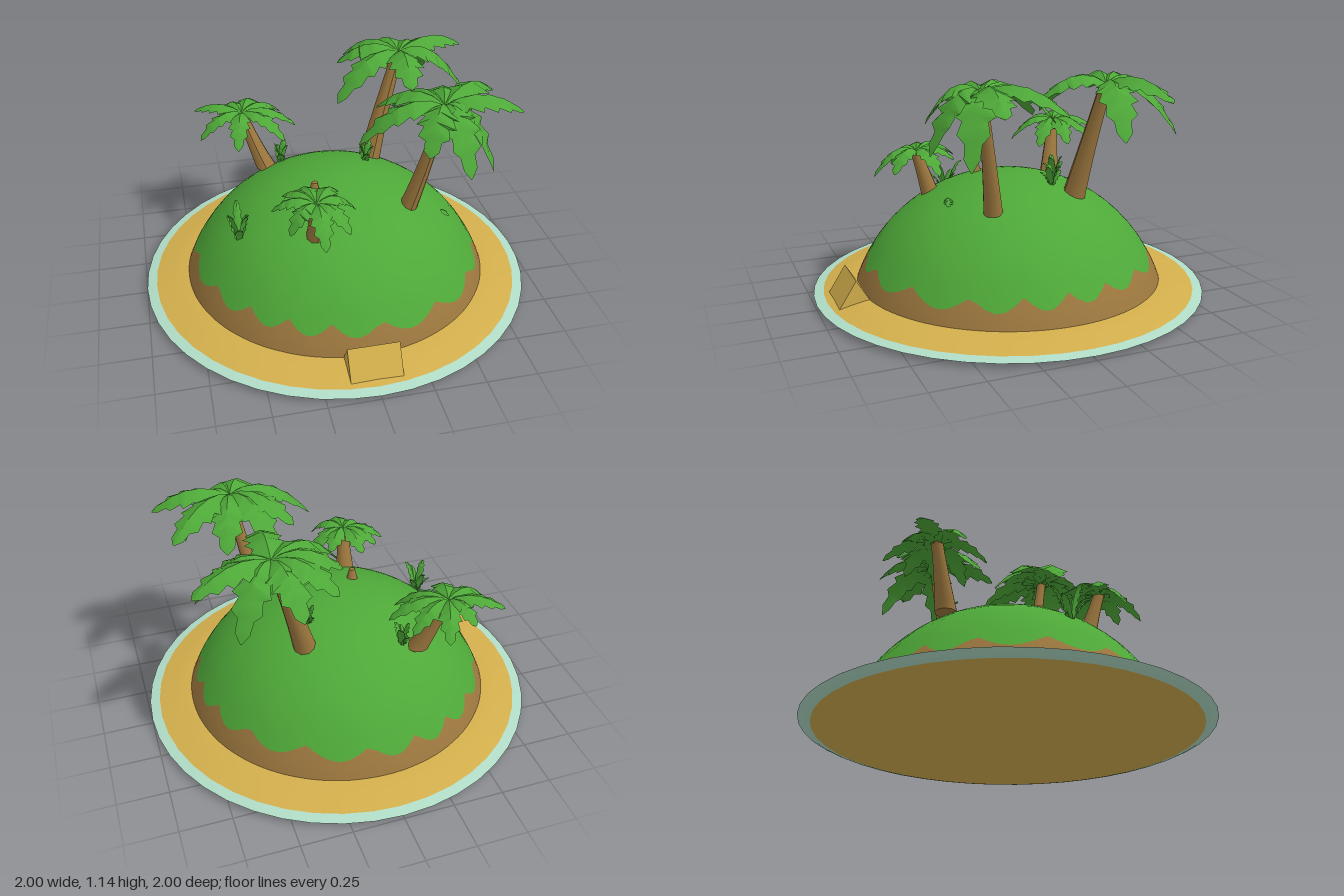
import * as THREE from 'three';
import { toCreasedNormals } from 'three/addons/utils/BufferGeometryUtils.js';

const mat = (name, color, side = THREE.FrontSide) => {
  const m = new THREE.MeshStandardMaterial({ color, side });
  m.name = name;
  return m;
};
const V = (x, y, z) => new THREE.Vector3(x, y, z);

// Skin over rows of points; every row is a closed loop
function skin(rows) {
  const n = rows[0].length, index = [];
  for (let i = 0; i < rows.length - 1; i++) {
    for (let j = 0; j < n; j++) {
      const k = (j + 1) % n;
      const a = i * n + j, b = i * n + k, c = (i + 1) * n + k, d = (i + 1) * n + j;
      index.push(a, d, b, b, d, c);
    }
  }
  const g = new THREE.BufferGeometry().setFromPoints(rows.flat());
  g.setIndex(index);
  g.computeVertexNormals();
  return g;
}

// Spherical hill surface between two radius rules
const hillY = r => Math.sqrt(0.694 - r * r) - 0.223;
function hillBand(outer, inner, steps) {
  const rows = [];
  for (let i = 0; i <= steps; i++) {
    const row = [];
    for (let j = 0; j < 108; j++) {
      const a = j / 108 * Math.PI * 2;
      const r = THREE.MathUtils.lerp(outer(a), inner(a), i / steps);
      row.push(V(r * Math.cos(a), hillY(r), r * Math.sin(a)));
    }
    rows.push(row);
  }
  return skin(rows);
}

// Arched leaf with a raised rib and jagged, drooping edges
function leaf(base, tip, width, lift) {
  const ctrl = base.clone().lerp(tip, 0.5);
  ctrl.y = Math.max(base.y, tip.y) + lift;
  const curve = new THREE.QuadraticBezierCurve3(base, ctrl, tip);
  const flat = V(tip.x - base.x, 0, tip.z - base.z).normalize();
  const side = V(-flat.z, 0, flat.x);
  const rows = [], steps = 11;
  for (let i = 0; i <= steps; i++) {
    const t = i / steps, p = curve.getPoint(t);
    const jag = i % 2 ? 0.72 : 1.08;
    const w = 0.003 + width * jag * Math.pow(Math.sin(Math.PI * (0.1 + 0.9 * t)), 0.75);
    const edge = s => p.clone().addScaledVector(side, s * w)
      .addScaledVector(flat, i % 2 ? 0 : w * 0.25).add(V(0, -0.4 * w, 0));
    rows.push([edge(-1), p.clone().add(V(0, -0.16 * w - 0.004, 0)), edge(1),
      p.clone().add(V(0, 0.12 * w, 0))]);
  }
  return toCreasedNormals(skin(rows), 0.7);
}

// Tapered trunk bent along a curve
function trunkGeometry(base, top, rBase, rTop, sag) {
  const mid = base.clone().lerp(top, 0.5).add(V(sag, 0, 0));
  const curve = new THREE.QuadraticBezierCurve3(base, mid, top);
  const g = new THREE.CylinderGeometry(1, 1, 1, 10, 8);
  const pos = g.attributes.position;
  for (let i = 0; i < pos.count; i++) {
    const t = pos.getY(i) + 0.5, c = curve.getPoint(t);
    const r = rTop + (rBase - rTop) * Math.pow(1 - t, 1.5);
    pos.setXYZ(i, c.x + pos.getX(i) * r, c.y, c.z + pos.getZ(i) * r);
  }
  g.computeVertexNormals();
  return g;
}

// Palms: trunk ends, crown hub and leaf tips as [x, y, z]
const PALMS = [
  { name: 'frontTallPalm', base: [0.33, 0.49, 0.21], hub: [0.45, 1.09, 0.31], r: [0.048, 0.025], sag: 0.02,
    width: 0.085, lift: 0.1,
    tips: [[0.3, 0.95, 0], [0.05, 0.93, 0.3], [0.19, 1.0, 0.08], [0.54, 0.95, -0.01], [0.78, 1.02, 0.04],
      [0.83, 1.04, 0.35], [0.67, 0.79, 0.44], [0.51, 0.84, 0.57], [0.32, 0.95, 0.53]] },
  { name: 'backTallPalm', base: [0.24, 0.5, -0.25], hub: [0.41, 1.09, -0.33], r: [0.06, 0.032], sag: -0.01,
    width: 0.085, lift: 0.1,
    tips: [[0.35, 0.95, -0.64], [0.62, 0.87, -0.59], [0.79, 1.05, -0.46], [0.75, 0.88, -0.25],
      [0.39, 1.03, 0], [0.05, 0.92, -0.15], [0.1, 1.03, -0.4], [0.17, 1.0, -0.56]] },
  { name: 'backSmallPalm', base: [-0.3, 0.47, -0.37], hub: [-0.41, 0.77, -0.44], r: [0.055, 0.03], sag: -0.01,
    width: 0.052, lift: 0.07,
    tips: [[-0.32, 0.7, -0.68], [-0.19, 0.7, -0.56], [-0.13, 0.69, -0.4], [-0.21, 0.67, -0.27],
      [-0.46, 0.67, -0.21], [-0.64, 0.68, -0.35], [-0.65, 0.75, -0.56], [-0.48, 0.72, -0.61]] },
  { name: 'frontSmallPalm', base: [-0.17, 0.48, 0.36], hub: [-0.18, 0.71, 0.43], r: [0.05, 0.03], sag: 0,
    width: 0.05, lift: 0.07,
    tips: [[-0.22, 0.67, 0.22], [-0.06, 0.68, 0.27], [0.02, 0.62, 0.37], [-0.05, 0.63, 0.58],
      [-0.18, 0.6, 0.65], [-0.32, 0.62, 0.52], [-0.38, 0.66, 0.36], [-0.31, 0.68, 0.27]] },
];

// Ground plants: centre, height, spread, blade count
const PLANTS = [
  { name: 'grassClump', at: [-0.52, 0.37, 0.17], h: 0.19, spread: 0.08, n: 6 },
  { name: 'rightBush', at: [0.2, 0.56, -0.15], h: 0.11, spread: 0.05, n: 5 },
  { name: 'backBush', at: [-0.22, 0.48, -0.36], h: 0.13, spread: 0.05, n: 5 },
];

export function createModel() {
  const island = new THREE.Group();
  island.name = 'palmIsland';
  const green = mat('leafGreen', 0x4ea838);
  const brown = mat('earthBrown', 0x9c773e);
  const sand = mat('sand', 0xd2ae4c);
  const foam = mat('foam', 0xb0dcc6);
  const add = (parent, name, geometry, material) => {
    const m = new THREE.Mesh(geometry, material);
    m.name = name;
    parent.add(m);
    return m;
  };
  const lathe = pts => toCreasedNormals(
    new THREE.LatheGeometry(pts.map(p => new THREE.Vector2(...p)), 44), 0.5);

  // Beach disc with a foam rim
  add(island, 'seabed', lathe([[0, 0.005], [0.94, 0.005]]), sand);
  add(island, 'foamRim', lathe([[0.94, 0.005], [0.97, 0.012], [1, 0.026], [0.95, 0.036]]), foam);
  add(island, 'beach', lathe([[0.95, 0.036], [0.86, 0.058], [0.8, 0.07], [0.74, 0.074]]), sand);

  // Hill: earth skirt below a scalloped grass cap
  const edge = a => 0.712 + 0.033 * Math.abs(Math.sin(9 * a + 0.7 * Math.sin(3 * a)))
    + 0.006 * Math.sin(2 * a);
  add(island, 'earthSkirt', hillBand(() => 0.79, edge, 3), brown);
  add(island, 'grassCap', hillBand(edge, () => 0.0005, 14), green);

  // Wedge of sand on the front beach
  const wedge = new THREE.Shape([[-0.92, 0.035], [-0.76, 0.06], [-0.83, 0.175]]
    .map(p => new THREE.Vector2(...p)));
  const wedgeGeometry = new THREE.ExtrudeGeometry(wedge, { depth: 0.25, bevelEnabled: false });
  wedgeGeometry.translate(0, 0, -0.125).rotateY(Math.PI / 2);
  add(island, 'sandWedge', wedgeGeometry, sand);

  // Palm trees
  for (const p of PALMS) {
    const palm = new THREE.Group();
    palm.name = p.name;
    const hub = V(...p.hub);
    add(palm, 'trunk', trunkGeometry(V(...p.base), hub, p.r[0], p.r[1], p.sag), brown);
    for (const tip of p.tips) add(palm, 'frond', leaf(hub, V(...tip), p.width, p.lift), green);
    island.add(palm);
  }

  // Grass and bushes
  for (const { name, at, h, spread, n } of PLANTS) {
    const plant = new THREE.Group();
    plant.name = name;
    for (let i = 0; i < n; i++) {
      const a = i / n * Math.PI * 2 + 0.6, k = i % 2 ? 0.7 : 1;
      const base = V(...at);
      const tip = base.clone().add(V(Math.cos(a) * spread * 0.7, h * k, Math.sin(a) * spread * 1.2));
      add(plant, 'blade', leaf(base, tip, 0.018, 0), green);
    }
    island.add(plant);
  }

  // Small stump on the hilltop and a falling leaf
  const stump = add(island, 'stump', new THREE.CylinderGeometry(0.015, 0.035, 0.08, 7), brown);
  stump.position.set(-0.13, 0.605, 0.13);
  add(island, 'fallingLeaf', leaf(V(0.41, 0.62, 0.46), V(0.45, 0.59, 0.47), 0.02, 0), green);
  return island;
}
